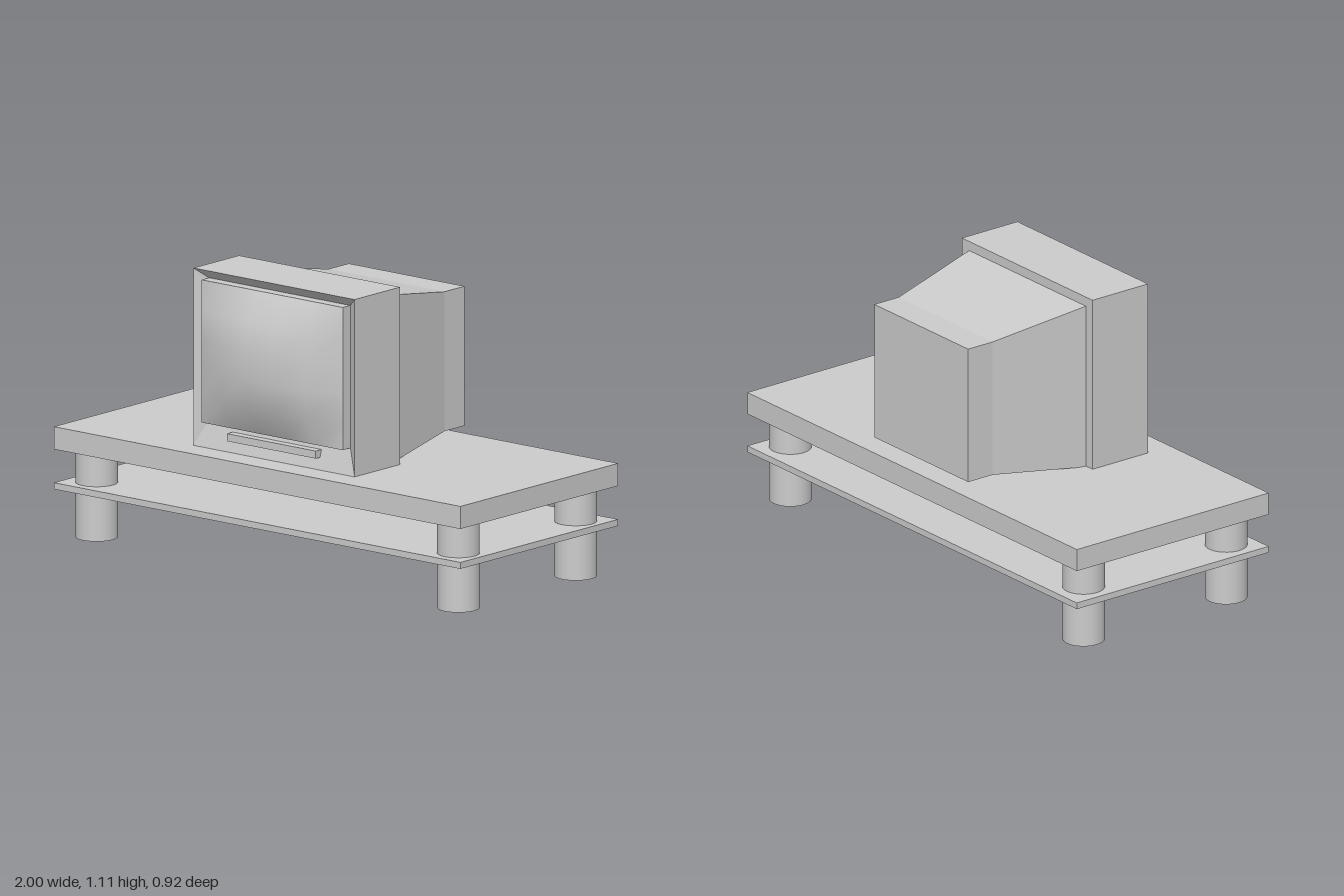
import * as THREE from 'three';

const material = new THREE.MeshStandardMaterial({ color: 0xcccccc });

function add(parent, name, geometry, x = 0, y = 0, z = 0) {
  const mesh = new THREE.Mesh(geometry, material);
  mesh.name = name;
  mesh.position.set(x, y, z);
  parent.add(mesh);
  return mesh;
}

// Box given by its limits on each axis
function addBox(parent, name, [x0, x1], [y0, y1], [z0, z1]) {
  return add(parent, name, new THREE.BoxGeometry(x1 - x0, y1 - y0, z1 - z0),
    (x0 + x1) / 2, (y0 + y1) / 2, (z0 + z1) / 2);
}

// Flat-faced loft through rectangles [x0, x1, y0, y1, z], ordered from back to front
function loft(sections) {
  const rings = sections.map(([x0, x1, y0, y1, z]) =>
    [[x0, y0, z], [x1, y0, z], [x1, y1, z], [x0, y1, z]]);
  const pos = [];
  const quad = (a, b, c, d) => pos.push(...a, ...b, ...c, ...a, ...c, ...d);
  for (let i = 0; i < rings.length - 1; i++) {
    const p = rings[i], q = rings[i + 1];
    for (let k = 0; k < 4; k++) {
      const n = (k + 1) % 4;
      quad(p[k], p[n], q[n], q[k]);
    }
  }
  const [a, b, c, d] = rings[0];
  quad(d, c, b, a);
  quad(...rings[rings.length - 1]);
  const geometry = new THREE.BufferGeometry();
  geometry.setAttribute('position', new THREE.Float32BufferAttribute(pos, 3));
  geometry.computeVertexNormals();
  return geometry;
}

// Bulging glass: a grid raised by the product of two humps, flat along its border
function bulge(width, height, depth) {
  const geometry = new THREE.PlaneGeometry(width, height, 5, 5);
  const p = geometry.attributes.position;
  const hump = (t) => (Math.abs(t) > 0.9 ? 0 : Math.abs(t) > 0.4 ? 0.775 : 1);
  for (let i = 0; i < p.count; i++) {
    p.setZ(i, depth * hump(2 * p.getX(i) / width) * hump(2 * p.getY(i) / height));
  }
  geometry.computeVertexNormals();
  return geometry;
}

export function createModel() {
  const model = new THREE.Group();
  model.name = 'televisionOnTable';

  // Table: thick top, thin shelf, four round legs
  const table = new THREE.Group();
  table.name = 'table';
  model.add(table);
  addBox(table, 'tableTop', [-1, 1], [0.34, 0.427], [-0.458, 0.458]);
  addBox(table, 'shelf', [-1, 1], [0.186, 0.211], [-0.458, 0.458]);
  for (const x of [-0.885, 0.895]) {
    for (const z of [-0.335, 0.345]) {
      add(table, 'leg', new THREE.CylinderGeometry(0.08, 0.08, 0.34, 32), x, 0.17, z);
    }
  }

  // Television
  const tv = new THREE.Group();
  tv.name = 'television';
  model.add(tv);

  // Front housing, with a frame sloping inward to the screen
  add(tv, 'housing', loft([
    [-0.405, 0.388, 0.427, 1.111, 0.085],
    [-0.405, 0.388, 0.427, 1.111, 0.35],
    [-0.352, 0.342, 0.528, 1.075, 0.32],
  ]));

  // Tapered rear cover
  add(tv, 'rearCover', loft([
    [-0.295, 0.275, 0.467, 1.005, -0.422],
    [-0.295, 0.275, 0.467, 1.005, -0.305],
    [-0.365, 0.345, 0.423, 1.075, 0.09],
  ]));

  // Screen rim and curved glass
  addBox(tv, 'screenRim', [-0.352, 0.342], [0.526, 1.076], [0.3, 0.364]);
  add(tv, 'screenGlass', bulge(0.694, 0.55, 0.08), -0.005, 0.801, 0.365);

  // Control strip below the screen
  addBox(tv, 'controlStrip', [-0.23, 0.207], [0.472, 0.501], [0.31, 0.362]);

  return model;
}
